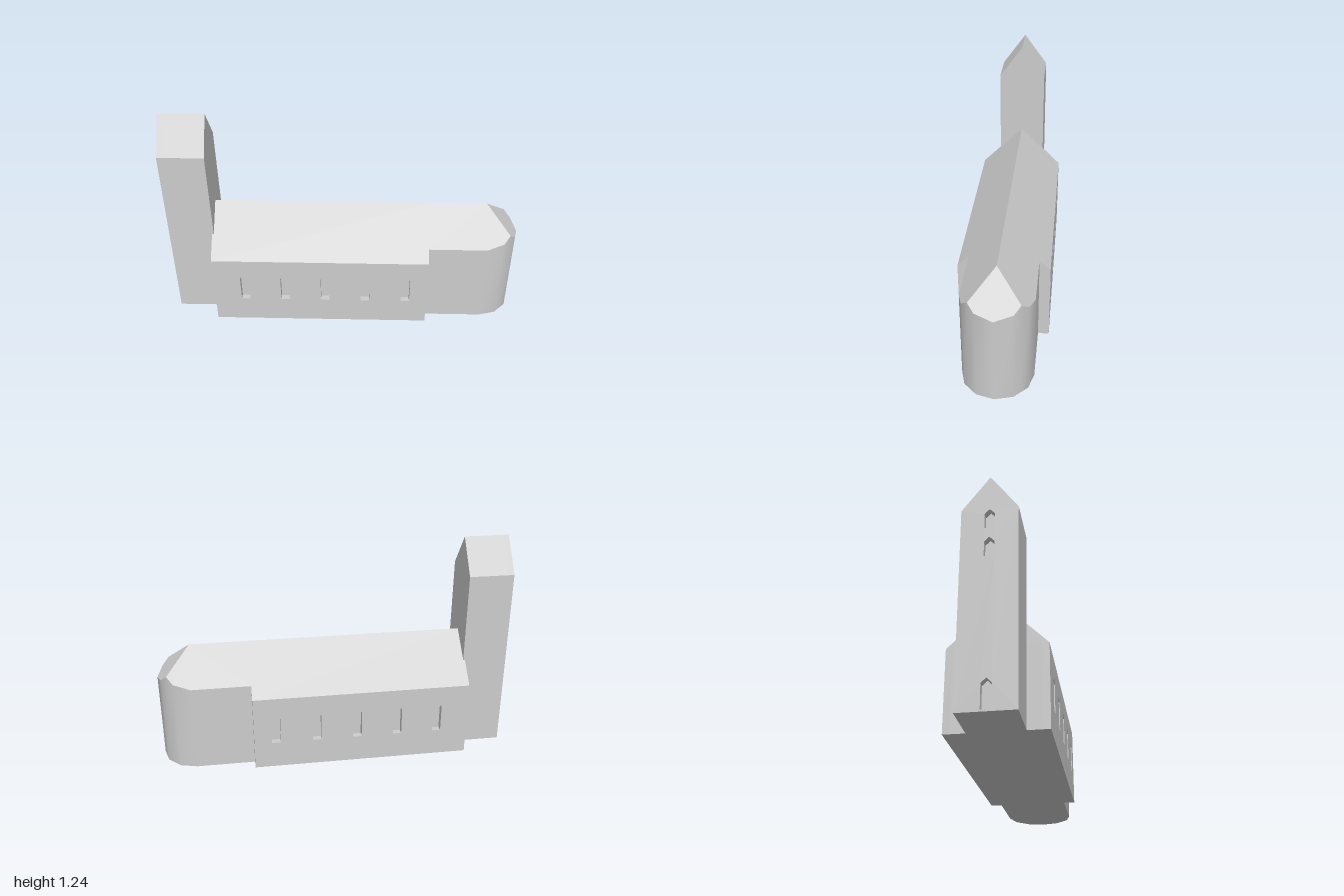
import * as THREE from 'three';
import { toCreasedNormals } from 'three/addons/utils/BufferGeometryUtils.js';

const NICHE = 0.035; // depth of the window recesses

const polygon = (pts) => new THREE.Shape(pts.map(([x, y]) => new THREE.Vector2(x, y)));

// Pointed opening, centred on x, from sill y0 to tip y1
function lancet(x, y0, y1, w = 0.05) {
  const h = w / 2;
  return polygon([[x - h, y0], [x + h, y0], [x + h, y1 - h], [x, y1], [x - h, y1 - h]]);
}

function extrude(shape, depth, holes = []) {
  shape.holes.push(...holes);
  return new THREE.ExtrudeGeometry(shape, { depth, bevelEnabled: false });
}

// Gabled outline: half width, eaves and ridge heights
const gable = (w, eaves, ridge) => polygon([[-w, 0], [w, 0], [w, eaves], [0, ridge], [-w, eaves]]);

// Chancel with a rounded end and a hipped roof
function chancelGeometry(x0, cx, r, ridge) {
  const outline = [[x0, r]];
  for (let i = 0; i <= 6; i++) {
    const a = Math.PI / 2 - (i * Math.PI) / 6;
    const p = [cx + r * Math.cos(a), r * Math.sin(a)];
    // extra corners where the hips meet the wall
    if (i === 2 || i === 5) {
      const q = outline[outline.length - 1];
      outline.push([(p[0] + q[0]) / 2, (p[1] + q[1]) / 2]);
    }
    outline.push(p);
  }
  outline.push([x0, -r]);

  const low = outline.map(([x, z]) => [x, 0, z]);
  const high = outline.map(([x, z]) => [x, ridge - Math.max(Math.abs(z), x - cx), z]);
  const apex = [cx, ridge, 0], back = [x0, ridge, 0], floor = [cx, 0, 0];
  const n = outline.length, pos = [];
  const tri = (a, b, c) => pos.push(...a, ...b, ...c);

  for (let i = 0; i < n - 1; i++) {
    tri(low[i], low[i + 1], high[i + 1]);
    tri(low[i], high[i + 1], high[i]);
    tri(apex, high[i], high[i + 1]);
    tri(floor, low[i + 1], low[i]);
  }
  tri(back, high[0], apex);
  tri(back, apex, high[n - 1]);
  tri(floor, low[0], low[n - 1]);

  const geo = new THREE.BufferGeometry();
  geo.setAttribute('position', new THREE.Float32BufferAttribute(pos, 3));
  return toCreasedNormals(geo, 0.65);
}

export function createModel() {
  const model = new THREE.Group();
  model.name = 'church';
  const stone = new THREE.MeshStandardMaterial({ color: 0xcccccc });
  stone.name = 'pale grey stone';

  const add = (name, geometry) => {
    const mesh = new THREE.Mesh(geometry, stone);
    mesh.name = name;
    model.add(mesh);
    return mesh;
  };

  // Nave: core with overhanging roof, and a pierced wall on each side
  const x0 = -0.755, x1 = 0.48, w = 0.25, eaves = 0.435, ridge = 0.685;
  const inner = w - NICHE;
  const core = polygon([
    [-inner, 0], [inner, 0], [inner, eaves], [w, eaves],
    [0, ridge], [-w, eaves], [-inner, eaves],
  ]);
  add('naveCoreAndRoof', extrude(core, x1 - x0).rotateY(Math.PI / 2).translate(x0, 0, 0));

  for (const side of [1, -1]) {
    const windows = [];
    for (let i = 0; i < 5; i++) windows.push(lancet(side * (-0.575 + i * 0.2325), 0.155, 0.335));
    const [a, b] = side > 0 ? [x0, x1] : [-x1, -x0];
    const geo = extrude(polygon([[a, 0], [b, 0], [b, eaves], [a, eaves]]), NICHE, windows);
    geo.translate(0, 0, inner);
    if (side < 0) geo.rotateY(Math.PI);
    add(side > 0 ? 'naveFrontWall' : 'naveBackWall', geo);
  }

  // Chancel
  add('chancel', chancelGeometry(x1, 0.81, 0.19, ridge));

  // Tower: gabled body and pierced west face with a door and two windows
  const towerIn = -1 + NICHE;
  add('towerBody', extrude(gable(0.14, 1.05, 1.24), -0.745 - towerIn)
    .rotateY(Math.PI / 2).translate(towerIn, 0, 0));
  const openings = [lancet(0, 0.01, 0.157), lancet(0, 0.78, 0.887), lancet(0, 0.94, 1.047)];
  add('towerWestFace', extrude(gable(0.14, 1.05, 1.24), NICHE, openings)
    .rotateY(-Math.PI / 2).translate(towerIn, 0, 0));

  return model;
}
